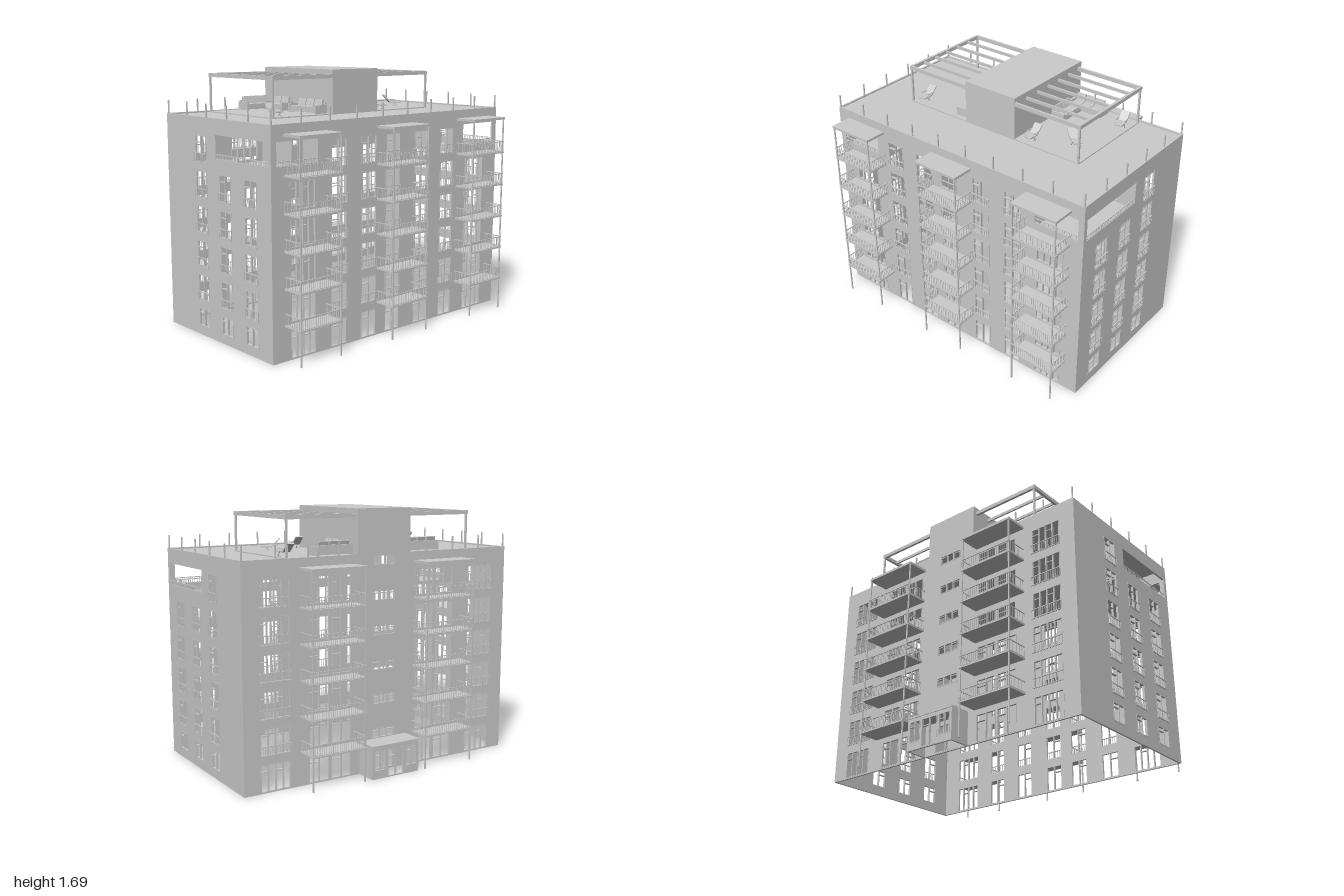
import * as THREE from 'three';
import { mergeGeometries } from 'three/addons/utils/BufferGeometryUtils.js';

const material = new THREE.MeshStandardMaterial({ color: 0xcccccc });
const W = 1, D = 0.55, TOP = 1.41, ROOF = 1.4, STOREY = 0.2235, WALL = 0.012;

const box = (x0, x1, y0, y1, z0, z1) =>
  new THREE.BoxGeometry(x1 - x0, y1 - y0, z1 - z0)
    .translate((x0 + x1) / 2, (y0 + y1) / 2, (z0 + z1) / 2);

function part(name, geometries) {
  const mesh = new THREE.Mesh(mergeGeometries(geometries), material);
  mesh.name = name;
  return mesh;
}

function group(name, ...children) {
  const g = new THREE.Group();
  g.name = name;
  g.add(...children);
  return g;
}

// Handrail, bottom rail and evenly spaced pickets along local x
function railing(x0, x1, y0, y1, z, gap = 0.016) {
  const out = [box(x0, x1, y1 - 0.005, y1, z - 0.003, z + 0.003),
    box(x0, x1, y0, y0 + 0.004, z - 0.002, z + 0.002)];
  const n = Math.max(2, Math.round((x1 - x0) / gap));
  for (let i = 0; i <= n; i++) {
    const x = x0 + (x1 - x0) * i / n;
    out.push(box(x - 0.0012, x + 0.0012, y0, y1, z - 0.0012, z + 0.0012));
  }
  return out;
}

// Window frame with mullions; every other pane carries a transom
function windowFrame({ u0, u1, y0, y1, cols }) {
  const t = 0.006, z0 = -0.012, z1 = 0.002, out = [];
  out.push(box(u0, u1, y0, y0 + t, z0, z1), box(u0, u1, y1 - t, y1, z0, z1));
  const step = (u1 - u0 - t) / cols;
  for (let i = 0; i <= cols; i++) {
    const u = u0 + i * step;
    out.push(box(u, u + t, y0, y1, z0, z1));
    if (i < cols && i % 2 === 0) {
      const y = y0 + (y1 - y0) * 0.72;
      out.push(box(u, u + step, y, y + 0.005, z0, z1));
    }
  }
  return out;
}

// Pierced wall facing local +z with frames and window railings
function facade(name, u0, u1, y0, y1, windows, openings = []) {
  const rect = (Type, a, b, c, d) => {
    const s = new Type();
    s.moveTo(a, c).lineTo(b, c).lineTo(b, d).lineTo(a, d).closePath();
    return s;
  };
  const shape = rect(THREE.Shape, u0, u1, y0, y1);
  for (const o of [...windows, ...openings]) shape.holes.push(rect(THREE.Path, o.u0, o.u1, o.y0, o.y1));
  const wall = new THREE.ExtrudeGeometry(shape, { depth: WALL, bevelEnabled: false }).translate(0, 0, -WALL);
  const g = group(name, part('wall', [wall]));
  if (windows.length) g.add(part('windowFrames', windows.flatMap(windowFrame)));
  const rails = windows.filter(w => w.rail).flatMap(w => railing(w.u0 - 0.002, w.u1 + 0.002, w.y0, w.y0 + 0.062, 0.007));
  for (const o of openings) rails.push(...railing(o.u0, o.u1, o.y0, o.y0 + 0.03, -0.006));
  if (rails.length) g.add(part('windowRailings', rails));
  return g;
}

const pane = (u0, u1, y0, y1, cols, rail = false) => ({ u0, u1, y0, y1, cols, rail });

// One window per storey; low is the ground floor sill
function column(u0, u1, cols, { low = 0.006, rail = true, floors = [0, 1, 2, 3, 4, 5] } = {}) {
  return floors.map(k => pane(u0, u1, k ? 0.008 + k * STOREY : low, 0.18 + k * STOREY, cols, rail && k > 0));
}

// Stack of balconies in front of a wall at z = D
function balconyStack(x0, x1) {
  const z1 = 0.7, slabs = [], rails = [], posts = [];
  for (let k = 0; k < 5; k++) {
    const y = 0.212 + k * STOREY;
    slabs.push(box(x0, x1, y, y + 0.01, D, z1));
    rails.push(...railing(x0 + 0.004, x1 - 0.004, y + 0.012, y + 0.083, z1 - 0.004));
    for (const x of [x0 + 0.004, x1 - 0.004]) {
      rails.push(...railing(-z1 + 0.004, -D, y + 0.012, y + 0.083, 0)
        .map(r => r.rotateY(Math.PI / 2).translate(x, 0, 0)));
    }
  }
  for (const x of [x0 + 0.004, x1 - 0.012]) posts.push(box(x, x + 0.008, 0, 1.34, z1 - 0.012, z1 - 0.004));
  return group('balconyStack', part('balconySlabs', slabs), part('balconyRailings', rails),
    part('balconyPosts', posts), part('balconyCanopy', [box(x0, x1, 1.338, 1.354, D, z1)]));
}

// Straight sofa: back on -z, length along x
function sofa(length) {
  const h = length / 2, g = [box(-h, h, 0.006, 0.028, -0.05, 0.05), box(-h, h, 0.028, 0.065, -0.05, -0.035)];
  for (const s of [-1, 1]) g.push(box(s * h - 0.008, s * h + 0.008, 0, 0.055, -0.05, 0.05));
  const n = Math.max(2, Math.round(length / 0.085)), w = (length - 0.016) / n;
  for (let i = 0; i < n; i++) {
    const x = -h + 0.008 + i * w;
    g.push(box(x + 0.002, x + w - 0.002, 0.028, 0.042, -0.034, 0.048));
    g.push(box(x + 0.004, x + w - 0.004, 0, 0.05, -0.007, 0.007).rotateX(-0.25).translate(0, 0.04, -0.022));
  }
  return part('sofa', g);
}

// Sun lounger with raised back at -z
function lounger() {
  const g = [box(-0.028, 0.028, 0.026, 0.034, -0.015, 0.06),
    box(-0.028, 0.028, 0, 0.07, -0.004, 0.004).rotateX(-0.75).translate(0, 0.03, -0.015)];
  for (const s of [-1, 1]) {
    for (const a of [-0.6, 0.6]) {
      g.push(box(-0.0025, 0.0025, -0.022, 0.022, -0.0025, 0.0025).rotateX(a).translate(s * 0.028, 0.019, 0.02));
    }
    g.push(box(s * 0.03 - 0.003, s * 0.03 + 0.003, 0.046, 0.051, -0.035, 0.025));
  }
  return part('lounger', g);
}

function place(object, x, y, z, turn = 0) {
  object.position.set(x, y, z);
  object.rotation.y = turn;
  return object;
}

export function createModel() {
  const model = new THREE.Group();
  model.name = 'apartmentBuilding';
  const lowFive = [0, 1, 2, 3, 4];

  // Front wall with open loggia corners
  const front = [...column(-0.09, 0.04, 2)];
  const back = [pane(-0.085, 0.085, 0.006, 0.18, 2)];
  const frontOpen = [];
  for (const s of [-1, 1]) {
    const mirrored = (a, b, ...rest) => column(Math.min(s * a, s * b), Math.max(s * a, s * b), ...rest);
    front.push(...mirrored(0.67, 0.865, 4, { rail: false, floors: lowFive }),
      ...mirrored(0.42, 0.55, 2), ...mirrored(0.17, 0.3, 2));
    frontOpen.push(pane(s > 0 ? 0.65 : -0.96, s > 0 ? 0.96 : -0.65, 1.165, 1.31));
    back.push(...mirrored(0.68, 0.89, 4), ...mirrored(0.245, 0.395, 2, { rail: false }),
      ...mirrored(0.405, 0.555, 2, { rail: false }));
  }
  model.add(place(facade('frontFacade', -W, W, 0, TOP, front, frontOpen), 0, 0, D));

  // Back wall with stair windows
  for (let k = 0; k < 6; k++) back.push(pane(-0.088, 0.088, 0.218 + k * STOREY, 0.283 + k * STOREY, 3));
  model.add(place(facade('backFacade', -W, W, 0, TOP, back), 0, 0, -D, Math.PI));

  // Side walls and recessed corner loggias
  for (const s of [-1, 1]) {
    const name = s > 0 ? 'left' : 'right';
    const flip = (z0, z1) => (s > 0 ? [-z1, -z0] : [z0, z1]);
    const side = [...column(...flip(0.29, 0.415), 2, { low: 0.06, floors: lowFive }),
      ...column(...flip(0.035, 0.155), 2, { low: 0.06, floors: lowFive }),
      ...column(...flip(-0.222, -0.1), 2, { low: 0.06 })];
    const [a, b] = flip(0, 0.52), [c, d] = flip(0, D), [e, f] = flip(0.29, 0.415);
    model.add(place(facade(name + 'Facade', -D, D, 0, TOP, side, [pane(a, b, 1.165, 1.31)]), s * W, 0, 0, s * Math.PI / 2));
    const [x0, x1] = s > 0 ? [0.64, 0.995] : [-0.995, -0.64];
    const [w0, w1] = s > 0 ? [0.68, 0.885] : [-0.885, -0.68];
    model.add(group(name + 'Loggia',
      part('loggiaFloor', [box(x0, x1, 1.11, 1.12, 0, D - 0.005)]),
      place(facade('loggiaSideWall', c, d, 1.12, ROOF, [pane(e, f, 1.13, 1.3, 2)]), s * 0.645, 0, 0, s * Math.PI / 2),
      facade('loggiaBackWall', x0, x1, 1.12, ROOF, [pane(w0, w1, 1.13, 1.3, 4)])));
  }

  // Balconies
  for (const [x0, x1] of [[-0.91, -0.585], [-0.165, 0.16], [0.585, 0.91]]) model.add(balconyStack(x0, x1));
  for (const [x0, x1] of [[-0.615, -0.225], [0.23, 0.62]]) {
    const stack = balconyStack(x0, x1);
    stack.rotation.y = Math.PI;
    model.add(stack);
  }

  // Entrance porch
  model.add(group('entrancePorch',
    part('porchShell', [box(-0.18, 0.18, 0.205, 0.217, -0.7, -D), box(-0.18, -0.168, 0, 0.205, -0.69, -D),
      box(0.168, 0.18, 0, 0.205, -0.69, -D)]),
    place(facade('porchFront', -0.18, 0.18, 0, 0.205,
      [pane(-0.165, -0.075, 0.05, 0.185, 2), pane(-0.065, 0.065, 0.004, 0.185, 2), pane(0.075, 0.165, 0.05, 0.185, 2)]),
    0, 0, -0.695, Math.PI)));

  // Roof slab, kerb and edge posts
  const kerb = [], posts = [];
  for (const s of [-1, 1]) {
    kerb.push(box(-W, W, ROOF, TOP, s * 0.543 - 0.007, s * 0.543 + 0.007),
      box(s * 0.993 - 0.007, s * 0.993 + 0.007, ROOF, TOP, -D, D));
    const post = (x, z) => posts.push(box(x - 0.004, x + 0.004, ROOF, 1.495, z - 0.004, z + 0.004));
    for (let i = 0; i < 10; i++) post(-0.99 + i * 0.22, s * 0.542);
    for (let i = 1; i < 5; i++) post(s * 0.99, -0.542 + i * 0.2168);
  }
  model.add(part('roof', [box(-W + 0.005, W - 0.005, 1.394, ROOF, -D + 0.005, D - 0.005)]),
    part('roofKerb', kerb), part('roofPosts', posts),
    part('stairTower', [box(-0.2, 0.2, ROOF, 1.69, -D, 0.17)]));

  // Pergolas and decks on both sides of the stair tower
  for (const s of [-1, 1]) {
    const span = (a, b, ...r) => (s > 0 ? box(a, b, ...r) : box(-b, -a, ...r));
    const beams = [span(0.672, 0.69, 1.635, 1.66, -0.525, 0.17)], legs = [];
    for (const z of [-0.516, 0.161]) {
      beams.push(span(0.2, 0.69, 1.635, 1.66, z - 0.008, z + 0.008));
      legs.push(span(0.675, 0.687, ROOF, 1.64, z - 0.006, z + 0.006));
    }
    for (let i = 1; i < 6; i++) {
      const z = -0.516 + i * 0.1128;
      beams.push(span(0.2, 0.68, 1.637, 1.657, z - 0.005, z + 0.005));
    }
    model.add(group('pergola', part('pergolaBeams', beams), part('pergolaPosts', legs),
      part('deck', [span(0.2, 0.69, ROOF, 1.407, -0.525, 0.17)])));
  }

  // Roof furniture
  const y = 1.407, q = Math.PI / 2;
  model.add(group('roofFurniture',
    place(sofa(0.24), -0.335, y, -0.455), place(sofa(0.18), -0.265, y, -0.315, -q),
    place(sofa(0.24), 0.335, y, -0.455), place(sofa(0.18), 0.26, y, -0.305, q),
    place(sofa(0.265), -0.265, y, -0.008, -q),
    place(lounger(), -0.617, y, 0.09), place(lounger(), 0.283, y, 0.09),
    place(lounger(), 0.53, y, -0.02, 1.0), place(lounger(), 0.63, y, -0.4, 0.12)));
  return model;
}
